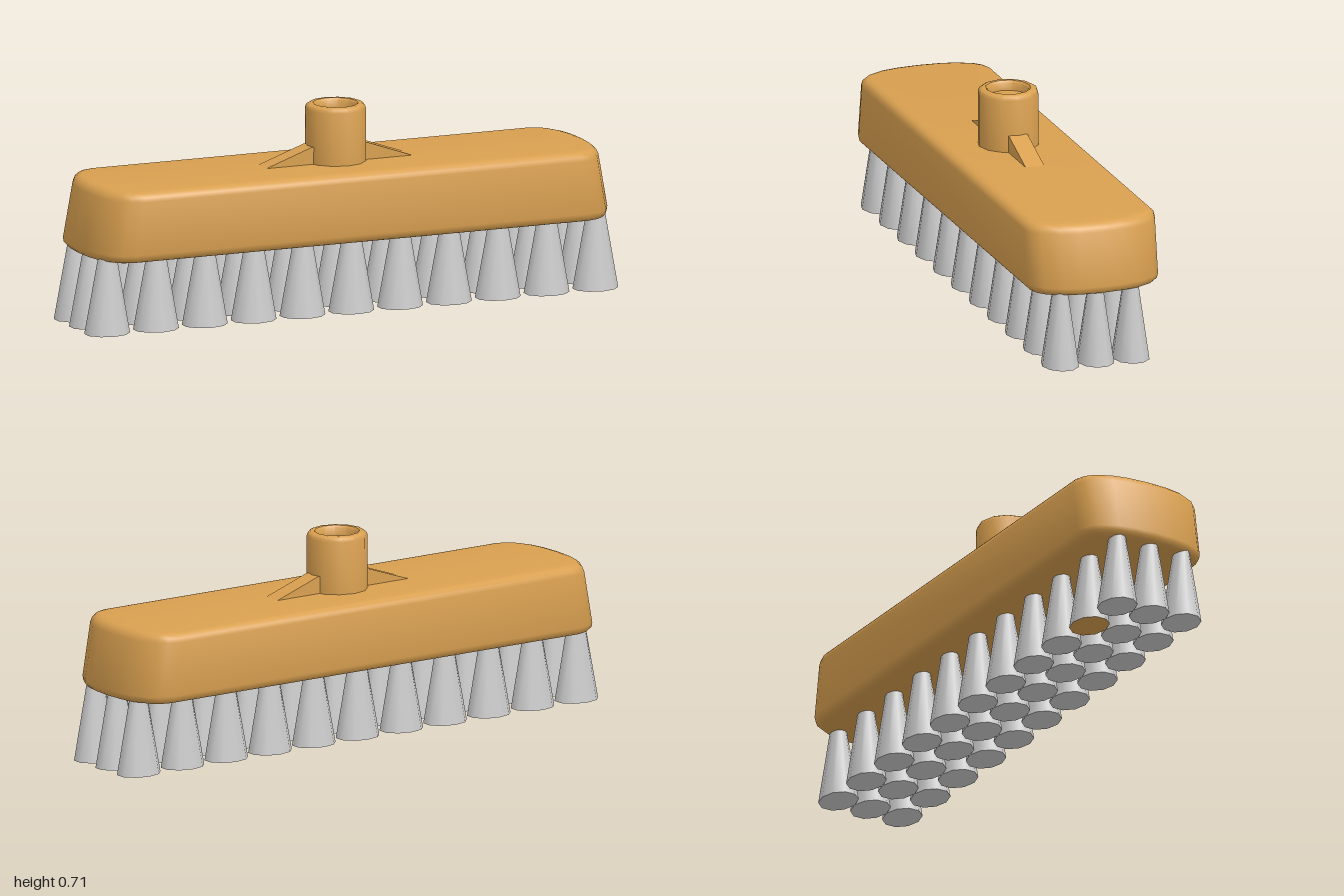
import * as THREE from 'three';
import { toCreasedNormals } from 'three/addons/utils/BufferGeometryUtils.js';

const wood = new THREE.MeshStandardMaterial({ color: 0xd9a050 });
const grey = new THREE.MeshStandardMaterial({ color: 0xcccccc });

function addMesh(parent, name, geometry, material) {
  const mesh = new THREE.Mesh(geometry, material);
  mesh.name = name;
  parent.add(mesh);
  return mesh;
}

// Long block with bulging ends, bevelled edges and ends that lean inward
function blockGeometry() {
  const end = [[0.985, 0], [0.98, 0.08], [0.967, 0.14], [0.935, 0.2], [0.905, 0.226], [0.86, 0.24]];
  const quarter = end.slice(1);
  const half = [...quarter.slice().reverse().map(([x, z]) => [x, -z]), end[0], ...quarter];
  const outline = [...half, ...half.map(([x, z]) => [-x, -z])];
  const bevel = 0.03;
  const bottom = 0.26, top = 0.507;
  const geo = new THREE.ExtrudeGeometry(
    new THREE.Shape(outline.map(([x, z]) => new THREE.Vector2(x, z))),
    { depth: top - bottom - 2 * bevel, bevelThickness: bevel, bevelSize: bevel, bevelOffset: -bevel, bevelSegments: 3 }
  );
  geo.rotateX(-Math.PI / 2).translate(0, bottom + bevel, 0);
  const p = geo.attributes.position;
  for (let i = 0; i < p.count; i++) {
    const lean = Math.max(0, p.getY(i) - 0.28) * 0.19;
    p.setX(i, p.getX(i) * (1 - lean));
  }
  return toCreasedNormals(geo, 0.75);
}

// Handle socket with a bevelled rim and a recessed floor
function socketGeometry() {
  const profile = [
    [0.106, 0.49], [0.106, 0.692], [0.102, 0.704], [0.092, 0.71],
    [0.079, 0.71], [0.073, 0.704], [0.072, 0.675], [0, 0.675],
  ].map(([r, y]) => new THREE.Vector2(r, y));
  return toCreasedNormals(new THREE.LatheGeometry(profile, 12), 0.75);
}

// Sloping brace on one side of the socket
function braceGeometry() {
  const shape = new THREE.Shape();
  shape.moveTo(0.09, 0.49);
  shape.lineTo(0.3, 0.49);
  shape.lineTo(0.275, 0.507);
  shape.lineTo(0.105, 0.567);
  shape.lineTo(0.09, 0.567);
  return new THREE.ExtrudeGeometry(shape, { depth: 0.068, bevelEnabled: false }).translate(0, 0, -0.034);
}

export function createModel() {
  const model = new THREE.Group();
  model.name = 'broomHead';
  model.rotation.z = -0.004;

  addMesh(model, 'block', blockGeometry(), wood);
  addMesh(model, 'handleSocket', socketGeometry(), wood);
  const brace = braceGeometry();
  addMesh(model, 'leftBrace', brace, wood);
  addMesh(model, 'rightBrace', brace, wood).rotation.y = Math.PI;

  // Three rows of eleven flared tufts
  const tuftHeight = 0.28;
  const tuft = new THREE.CylinderGeometry(0.025, 0.065, tuftHeight, 10);
  tuft.scale(1.254, 1, 1).translate(0, tuftHeight / 2 + 0.004, 0);
  const tufts = new THREE.Group();
  tufts.name = 'tufts';
  model.add(tufts);
  for (let row = 0; row < 3; row++) {
    for (let i = 0; i < 11; i++) {
      // One tuft has a wood-coloured underside
      const odd = row === 0 && i === 1;
      const mesh = addMesh(tufts, 'tuft', tuft, odd ? [grey, grey, wood] : grey);
      mesh.position.set((i - 5) * 0.1843, 0, 0.01 + (row - 1) * 0.129);
    }
  }
  return model;
}
